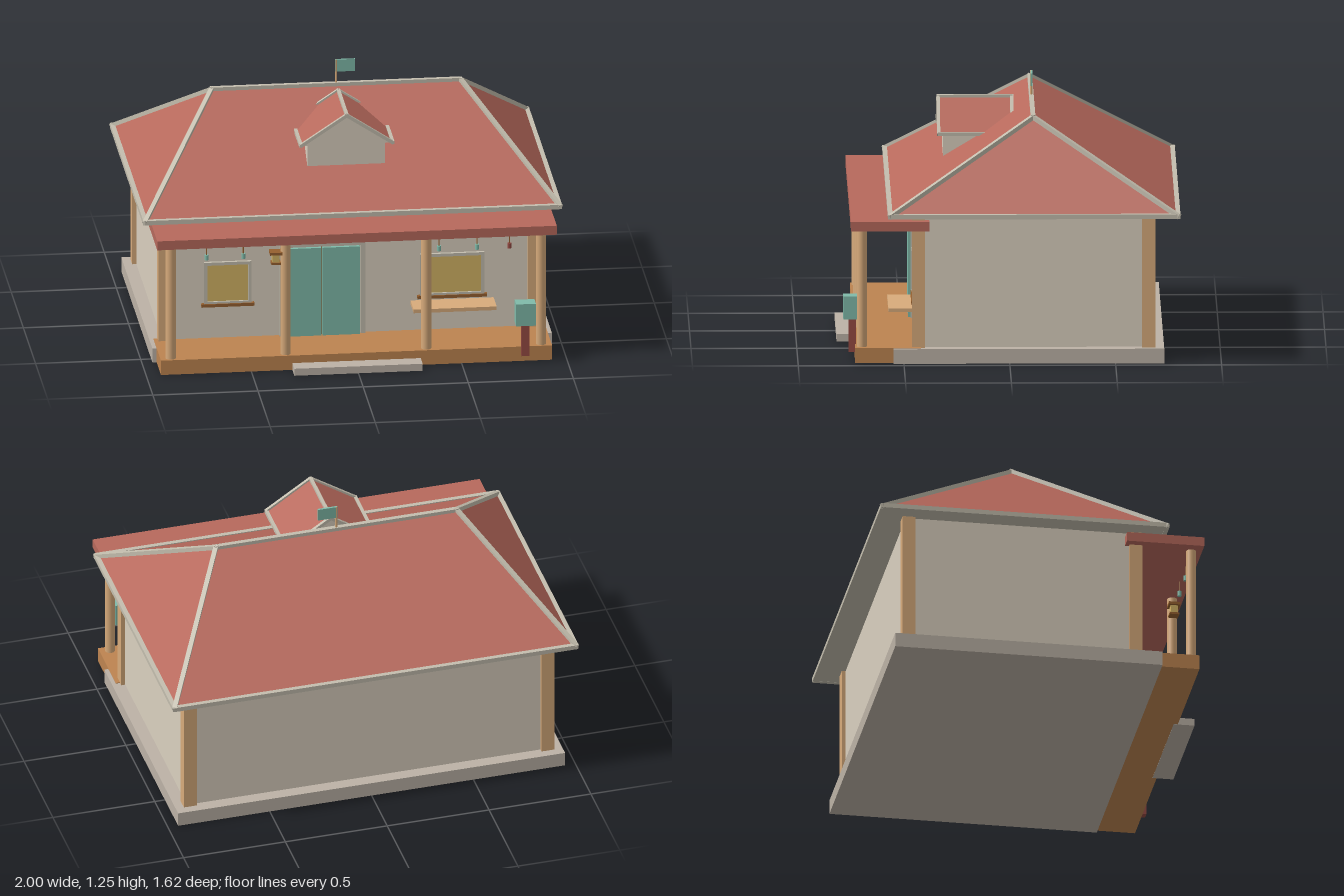
import * as THREE from 'three';

const mat = (name, color) => {
  const m = new THREE.MeshStandardMaterial({ color });
  m.name = name;
  return m;
};

export function createModel() {
  const house = new THREE.Group();
  house.name = 'house';

  const wall = mat('cream plaster', 0xdad0bf);
  const roofRed = mat('roof red', 0xb7695c);
  const trim = mat('pale trim', 0xc4beae);
  const stone = mat('stone', 0xbcb2a6);
  const wood = mat('light wood', 0xd8ab7b);
  const deckWood = mat('deck wood', 0xbd8450);
  const teal = mat('teal paint', 0x7fbaa9);
  const glass = mat('amber glass', 0xd4b465);
  const brown = mat('dark wood', 0x96602f);
  const darkRed = mat('dark red', 0x964a43);

  const add = (name, geometry, material, parent = house) => {
    const m = new THREE.Mesh(geometry, material);
    m.name = name;
    parent.add(m);
    return m;
  };
  // Box given by its min and max on each axis
  const box = (name, material, [x0, x1], [y0, y1], [z0, z1], parent) => {
    const m = add(name, new THREE.BoxGeometry(x1 - x0, y1 - y0, z1 - z0), material, parent);
    m.position.set((x0 + x1) / 2, (y0 + y1) / 2, (z0 + z1) / 2);
    return m;
  };
  const cylinder = (name, material, r, x, [y0, y1], z, parent, sides = 20) => {
    const m = add(name, new THREE.CylinderGeometry(r, r, y1 - y0, sides), material, parent);
    m.position.set(x, (y0 + y1) / 2, z);
    return m;
  };
  // Square trim bar between two points
  const bar = (name, a, b, size, parent) => {
    const p = new THREE.Vector3(...a), q = new THREE.Vector3(...b);
    const m = add(name, new THREE.BoxGeometry(size, size, p.distanceTo(q) + size * 0.6), trim, parent);
    m.position.copy(p).add(q).multiplyScalar(0.5);
    m.lookAt(q);
    return m;
  };

  // Foundation, deck and step
  box('foundation', stone, [-0.95, 0.95], [0, 0.07], [-0.73, 0.55]);
  box('porchDeck', deckWood, [-0.93, 0.93], [0.001, 0.073], [0.42, 0.73]);
  box('frontStep', stone, [-0.305, 0.305], [0, 0.035], [0.71, 0.81]);

  // Walls and corner posts
  box('walls', wall, [-0.89, 0.89], [0.07, 0.71], [-0.67, 0.44]);
  for (const s of [-1, 1]) {
    for (const z of [-0.657, 0.43]) {
      box('cornerPost', wood, [s * 0.878 - 0.032, s * 0.878 + 0.032], [0.07, 0.7], [z - 0.031, z + 0.031]);
    }
  }

  // Porch roof and round posts
  box('porchRoof', roofRed, [-0.95, 0.95], [0.635, 0.68], [0.38, 0.75]);
  for (const x of [-0.88, -0.335, 0.335, 0.88]) {
    cylinder('porchPost', wood, 0.024, x, [0.07, 0.637], 0.698);
  }

  // Hipped main roof: two long slopes, two hips and a soffit
  const mainRoof = new THREE.Group();
  mainRoof.name = 'mainRoof';
  house.add(mainRoof);
  const X = 0.985, ZF = 0.565, ZB = -0.795, Y = 0.71;
  const FL = [-X, Y, ZF], FR = [X, Y, ZF], BR = [X, Y, ZB], BL = [-X, Y, ZB];
  const RL = [-0.59, 1.12, -0.115], RR = [0.59, 1.12, -0.115];
  const faces = (tris) => {
    const g = new THREE.BufferGeometry();
    g.setAttribute('position', new THREE.Float32BufferAttribute(tris.flat(2), 3));
    g.computeVertexNormals();
    return g;
  };
  add('roofSlopes', faces([
    [FL, FR, RR], [FL, RR, RL], [BR, BL, RL], [BR, RL, RR], [FR, BR, RR], [BL, FL, RL],
  ]), roofRed, mainRoof);
  box('soffit', trim, [-X, X], [0.7, 0.709], [ZB, ZF], mainRoof);
  const corners = [FL, FR, BR, BL];
  corners.forEach((c, i) => {
    bar('eaveTrim', c, corners[(i + 1) % 4], 0.022, mainRoof);
    bar('hipTrim', c, c[0] < 0 ? RL : RR, 0.022, mainRoof);
  });
  bar('ridgeTrim', RL, RR, 0.022, mainRoof);

  // Dormer with its own gabled roof
  const dormer = new THREE.Group();
  dormer.name = 'dormer';
  house.add(dormer);
  box('dormerBody', wall, [-0.185, 0.185], [0.8, 0.98], [0, 0.305], dormer);
  const gable = new THREE.Shape([[-0.215, 0.978], [0.215, 0.978], [0, 1.122]].map(p => new THREE.Vector2(...p)));
  const gableGeometry = new THREE.ExtrudeGeometry(gable, { depth: 0.355, bevelEnabled: false });
  add('dormerRoof', gableGeometry, [wall, roofRed], dormer).position.z = -0.025;
  bar('dormerRidge', [0, 1.122, -0.022], [0, 1.122, 0.325], 0.016, dormer);
  for (const s of [-1, 1]) {
    bar('dormerEave', [s * 0.218, 0.978, 0], [s * 0.218, 0.978, 0.325], 0.016, dormer);
    for (const z of [-0.022, 0.326]) {
      bar('dormerRake', [s * 0.218, 0.978, z], [0, 1.122, z], 0.016, dormer);
    }
  }

  // Flag on the ridge
  cylinder('flagPole', wood, 0.006, 0, [1.11, 1.245], -0.115, house, 10);
  box('flag', teal, [-0.005, 0.09], [1.185, 1.245], [-0.12, -0.11]);

  // Double door in a frame
  const door = new THREE.Group();
  door.name = 'door';
  house.add(door);
  box('frameTop', trim, [-0.335, 0.075], [0.515, 0.54], [0.43, 0.457], door);
  box('frameLeft', trim, [0.05, 0.075], [0.07, 0.515], [0.43, 0.457], door);
  box('frameRight', trim, [-0.335, -0.315], [0.07, 0.515], [0.43, 0.457], door);
  box('doorBacking', brown, [-0.315, 0.05], [0.07, 0.515], [0.43, 0.445], door);
  box('doorPanel', teal, [-0.315, -0.137], [0.073, 0.513], [0.44, 0.468], door);
  box('doorPanel', teal, [-0.131, 0.047], [0.073, 0.513], [0.44, 0.468], door);

  // Windows with frame bars and sills
  for (const [cx, w] of [[-0.58, 0.225], [0.487, 0.305]]) {
    const win = new THREE.Group();
    win.name = 'window';
    house.add(win);
    const a = cx - w / 2, b = cx + w / 2, t = 0.015, z = [0.43, 0.455];
    box('pane', glass, [a, b], [0.245, 0.45], [0.438, 0.446], win);
    box('frameTop', trim, [a, b], [0.44, 0.455], z, win);
    box('frameBottom', trim, [a, b], [0.245, 0.258], z, win);
    box('frameSide', trim, [a, a + t], [0.25, 0.445], z, win);
    box('frameSide', trim, [b - t, b], [0.25, 0.445], z, win);
    box('sill', brown, [a - 0.013, b + 0.013], [0.233, 0.248], [0.43, 0.461], win);
  }

  // Wall-mounted bench
  box('bench', wood, [0.29, 0.685], [0.203, 0.221], [0.44, 0.57]);

  // Lantern beside the porch post
  const lantern = new THREE.Group();
  lantern.name = 'lantern';
  house.add(lantern);
  box('lanternCap', brown, [-0.41, -0.352], [0.577, 0.59], [0.67, 0.726], lantern);
  box('lanternGlass', glass, [-0.398, -0.364], [0.538, 0.577], [0.681, 0.715], lantern);
  box('lanternBase', brown, [-0.404, -0.358], [0.528, 0.538], [0.675, 0.721], lantern);

  // Hanging charms under the porch roof
  for (const x of [-0.71, -0.535, 0.395, 0.577, 0.73]) {
    cylinder('charmString', brown, 0.003, x, [0.58, 0.637], 0.7, house, 6);
    cylinder('charm', x > 0.7 ? darkRed : teal, 0.01, x, [0.56, 0.585], 0.7, house, 10);
  }

  // Mailbox on a post
  box('mailboxPost', darkRed, [0.782, 0.82], [0.035, 0.2], [0.724, 0.76]);
  box('mailbox', teal, [0.753, 0.847], [0.195, 0.305], [0.718, 0.785]);

  return house;
}
